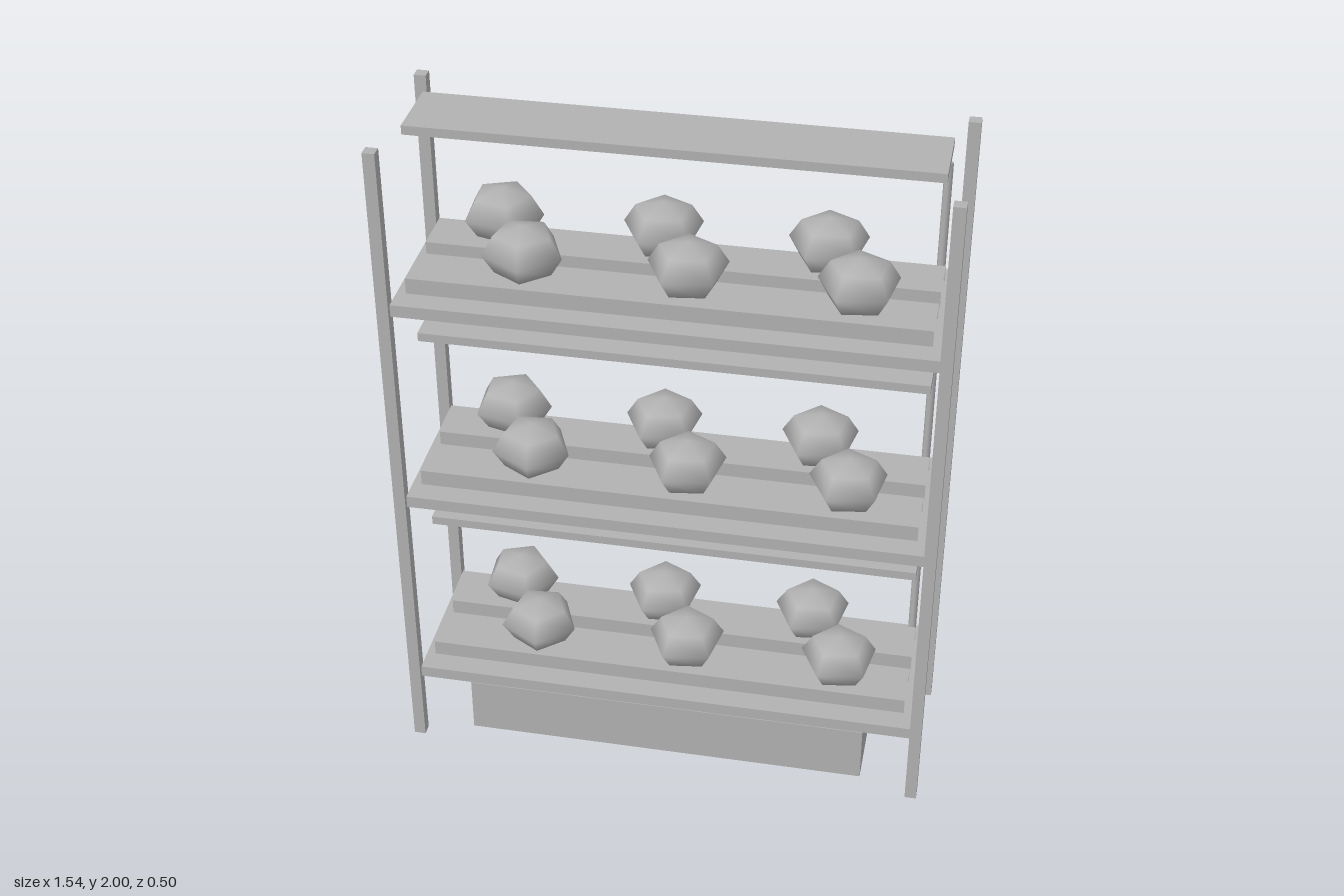
import * as THREE from 'three';

const grey = new THREE.MeshStandardMaterial({ color: 0xb2b2b2, side: THREE.DoubleSide });
grey.name = 'grey';

// Box without the listed faces (0 +x, 1 -x, 2 +y, 3 -y, 4 +z, 5 -z)
function box(w, h, d, open = []) {
  const g = new THREE.BoxGeometry(w, h, d);
  const index = Array.from(g.index.array).filter((_, i) => !open.includes(Math.floor(i / 6)));
  g.clearGroups();
  g.setIndex(index);
  return g;
}

function add(parent, name, geometry, x, y, z) {
  const mesh = new THREE.Mesh(geometry, grey);
  mesh.name = name;
  mesh.position.set(x, y, z);
  parent.add(mesh);
  return mesh;
}

export function createModel() {
  const model = new THREE.Group();
  model.name = 'plantRack';

  // Corner posts
  const post = box(0.034, 1.99, 0.034);
  for (const x of [-0.755, 0.755])
    for (const z of [-0.234, 0.234]) add(model, 'post', post, x, 0.995, z);

  // Shared parts of each tier; shelves and channels are open at both ends
  const shelf = box(1.476, 0.036, 0.474, [0, 1]);
  const channel = box(1.424, 0.047, 0.14, [0, 1]);
  const light = box(1.424, 0.026, 0.204);
  const plant = new THREE.SphereGeometry(0.115, 5, 4);
  plant.scale(1, 0.68, 1);

  // Plant spots: x, z, turn in degrees
  const spots = [
    [-0.398, 0.1, 5], [0.05, 0.1, 44], [0.506, 0.1, 45],
    [-0.505, -0.1, 21], [-0.055, -0.1, 45], [0.4, -0.1, 44],
  ];

  for (const y of [0.222, 0.858, 1.495]) {
    const tier = new THREE.Group();
    tier.name = 'tier';
    tier.position.y = y;
    model.add(tier);
    add(tier, 'shelf', shelf, 0, 0.018, 0);
    for (const z of [-0.1, 0.1]) add(tier, 'channel', channel, 0, 0.0595, z);
    add(tier, 'growLight', light, 0, 0.492, 0);
    for (const [x, z, turn] of spots) {
      const p = add(tier, 'plant', plant, x, 0.162, z);
      p.rotation.y = THREE.MathUtils.degToRad(turn + 18);
    }
  }

  // Water tank, open below, with its filler cap
  add(model, 'tank', box(1.194, 0.175, 0.398, [3]), 0, 0.0975, 0);
  add(model, 'tankCap', new THREE.CylinderGeometry(0.042, 0.042, 0.02, 16), 0.238, 0.195, 0.08);

  // Supply pipe, open at both ends
  add(model, 'pipe', new THREE.CylinderGeometry(0.012, 0.012, 1.828, 8, 1, true), 0.697, 0.956, -0.21);

  return model;
}
